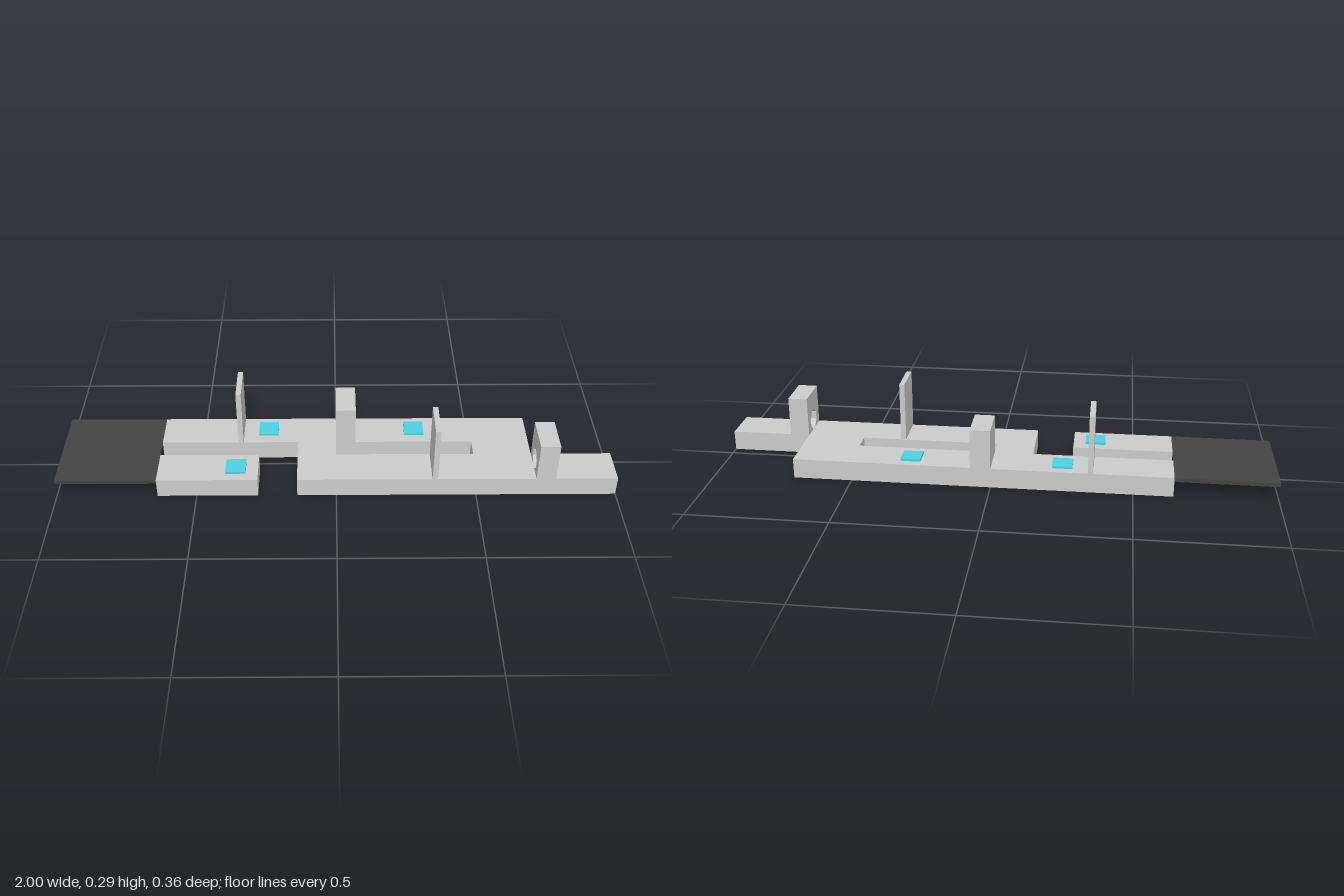
import * as THREE from 'three';

const DECK = 0.072; // top of the floor slabs
const grey = new THREE.MeshStandardMaterial({ color: 0xcccccc, flatShading: true });
const dark = new THREE.MeshStandardMaterial({ color: 0x444444, flatShading: true });
const teal = new THREE.MeshStandardMaterial({ color: 0x4dd0e1, flatShading: true });

const points = (list) => list.map(([x, y]) => new THREE.Vector2(x, y));

// Box given by its extents along each axis
function slab(name, [x0, x1], [y0, y1], [z0, z1], material = grey) {
  const mesh = new THREE.Mesh(new THREE.BoxGeometry(x1 - x0, y1 - y0, z1 - z0), material);
  mesh.position.set((x0 + x1) / 2, (y0 + y1) / 2, (z0 + z1) / 2);
  mesh.name = name;
  return mesh;
}

export function createModel() {
  const model = new THREE.Group();
  model.name = 'obstacleCourse';
  const backLane = [-0.18, -0.037];
  const frontLane = [0.036, 0.178];

  // Main floor: two lanes joined by two bridges around a slot, drawn as (x, -z)
  const floor = new THREE.Shape(points([
    [-0.64, 0.037], [-0.14, 0.037], [-0.14, -0.178], [1, -0.178],
    [1, -0.036], [0.71, -0.036], [0.71, 0.18], [-0.64, 0.18],
  ]));
  floor.holes.push(new THREE.Path(points([[0, -0.036], [0, 0.037], [0.5, 0.037], [0.5, -0.036]])));
  const floorGeometry = new THREE.ExtrudeGeometry(floor, { depth: DECK, bevelEnabled: false });
  floorGeometry.rotateX(-Math.PI / 2);
  const floorMesh = new THREE.Mesh(floorGeometry, grey);
  floorMesh.name = 'mainFloor';
  model.add(floorMesh);

  // Separate front platform and dark end plate
  model.add(slab('frontPlatform', [-0.64, -0.28], [0, DECK], frontLane));
  model.add(slab('endPlate', [-1, -0.64], [0.057, DECK], [-0.18, 0.178], dark));

  // Thin upright walls across the lanes
  model.add(slab('backWall', [-0.36, -0.341], [DECK, 0.288], backLane));
  model.add(slab('frontWall', [0.341, 0.36], [DECK, 0.288], [0.04, 0.182]));

  // Solid block on the back lane
  model.add(slab('backBlock', [0, 0.072], [DECK, 0.216], backLane));

  // Block with an octagonal tunnel, drawn as (-z, y) and extruded along x
  const gate = new THREE.Shape(points([[-0.178, DECK], [-0.036, DECK], [-0.036, 0.216], [-0.178, 0.216]]));
  const octagon = [];
  for (let i = 0; i < 8; i++) {
    const a = -(i + 0.5) * Math.PI / 4;
    octagon.push([-0.107 + 0.039 * Math.cos(a), 0.11 + 0.039 * Math.sin(a)]);
  }
  gate.holes.push(new THREE.Path(points(octagon)));
  const gateGeometry = new THREE.ExtrudeGeometry(gate, { depth: 0.07, bevelEnabled: false });
  gateGeometry.rotateY(Math.PI / 2);
  const gateMesh = new THREE.Mesh(gateGeometry, grey);
  gateMesh.position.x = 0.71;
  gateMesh.name = 'tunnelBlock';
  model.add(gateMesh);

  // Teal square floor pads
  const half = 0.036;
  [[-0.36, 0.107], [-0.25, -0.113], [0.29, -0.113]].forEach(([x, z], i) => {
    model.add(slab(`floorPad${i + 1}`, [x - half, x + half], [DECK, 0.08], [z - half, z + half], teal));
  });

  return model;
}
